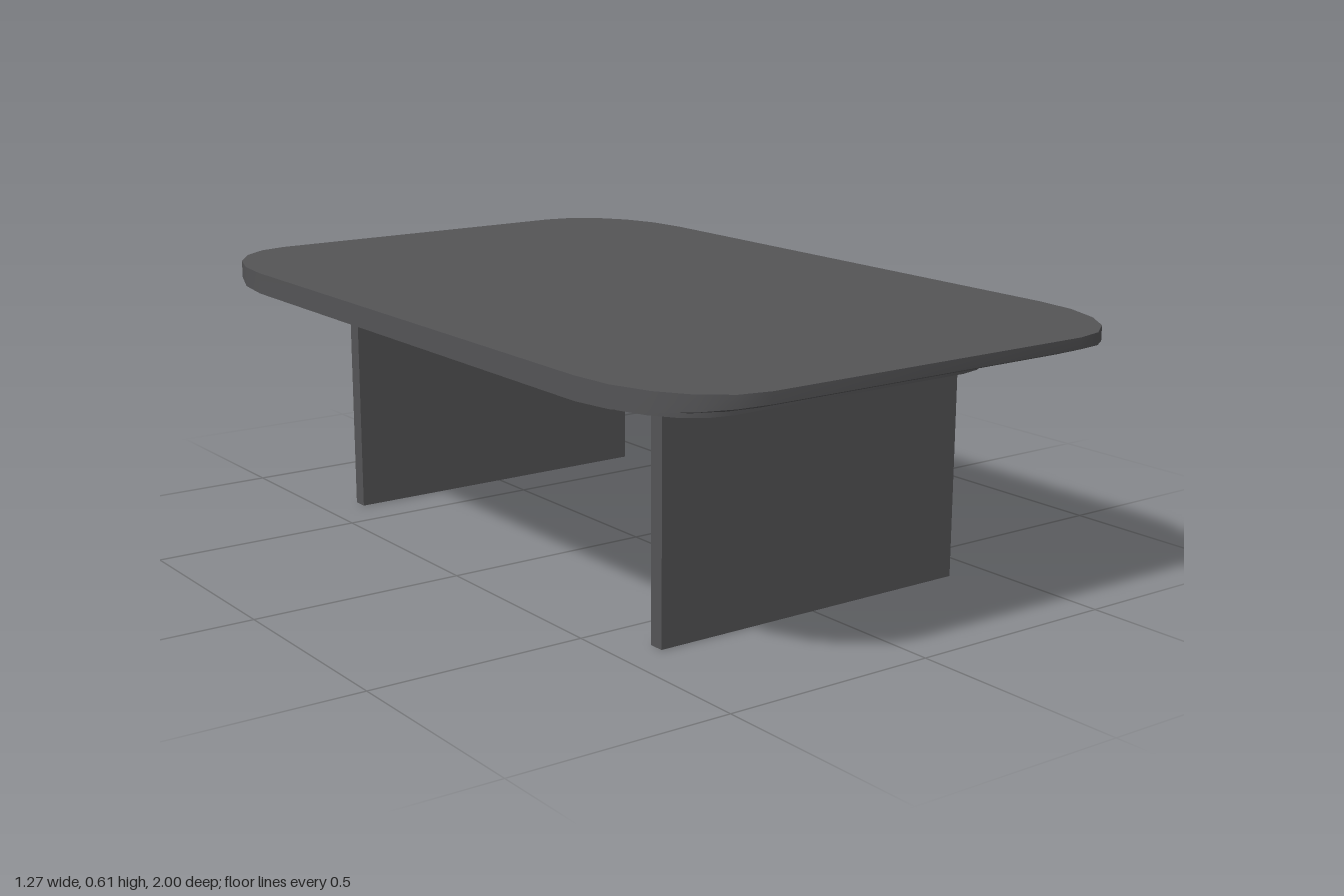
import * as THREE from 'three';
import { toCreasedNormals } from 'three/addons/utils/BufferGeometryUtils.js';

const STEPS = 5; // segments per rounded corner

// Rounded outline with elliptical corners; "side" is 1 at the long sides and 0 at the ends
function makeOutline() {
  const points = [];
  for (let q = 0; q < 4; q++) {
    for (let i = 0; i <= STEPS; i++) {
      const a = (q + i / STEPS) * Math.PI / 2;
      const cx = q === 0 || q === 3 ? 0.41 : -0.41;
      const cz = q < 2 ? 0.68 : -0.68;
      points.push({
        x: cx + 0.223 * Math.cos(a),
        z: cz + 0.32 * Math.sin(a),
        side: Math.cos(a) ** 2,
      });
    }
  }
  return points;
}

// Lofts scaled copies of the outline; each ring is [scale, height function of side]
function loft(rings) {
  const outline = makeOutline();
  const n = outline.length;
  const positions = [];
  const index = [];
  for (const [scale, height] of rings) {
    for (const p of outline) positions.push(p.x * scale, height(p.side), p.z * scale);
  }
  for (let r = 0; r < rings.length - 1; r++) {
    for (let i = 0; i < n; i++) {
      const j = (i + 1) % n;
      const a = r * n + i, b = r * n + j, c = a + n, d = b + n;
      if (rings[r][0] > 0) index.push(a, c, b);
      if (rings[r + 1][0] > 0) index.push(c, d, b);
    }
  }
  const geometry = new THREE.BufferGeometry();
  geometry.setAttribute('position', new THREE.Float32BufferAttribute(positions, 3));
  geometry.setIndex(index);
  return toCreasedNormals(geometry, 0.6);
}

export function createModel() {
  const group = new THREE.Group();
  const charcoal = new THREE.MeshStandardMaterial({ color: 0x545456 });
  charcoal.name = 'charcoal';

  const add = (name, geometry) => {
    const mesh = new THREE.Mesh(geometry, charcoal);
    mesh.name = name;
    group.add(mesh);
    return mesh;
  };
  const flat = (y) => () => y;

  // Table top: bowed underside, upright rim that is deeper along the sides, flat top
  const inner = 0.763;
  const under = [];
  for (let i = 0; i <= 5; i++) {
    const t = i / 5;
    under.push([
      inner + (1 - inner) * t,
      (side) => 0.527 + (0.058 - 0.025 * side) * t ** 1.5,
    ]);
  }
  add('tableTop', loft([[0, flat(0.527)], ...under, [1, flat(0.61)], [0, flat(0.61)]]));

  // Thin mounting plate beneath the top
  add('underPlate', loft([
    [0, flat(0.502)], [inner, flat(0.502)], [inner, flat(0.53)], [0, flat(0.53)],
  ]));

  // Panel legs at both ends
  for (const s of [1, -1]) {
    const leg = add(s > 0 ? 'frontLeg' : 'backLeg', new THREE.BoxGeometry(0.81, 0.503, 0.037));
    leg.position.set(0, 0.2515, s * 0.634);
  }

  return group;
}
